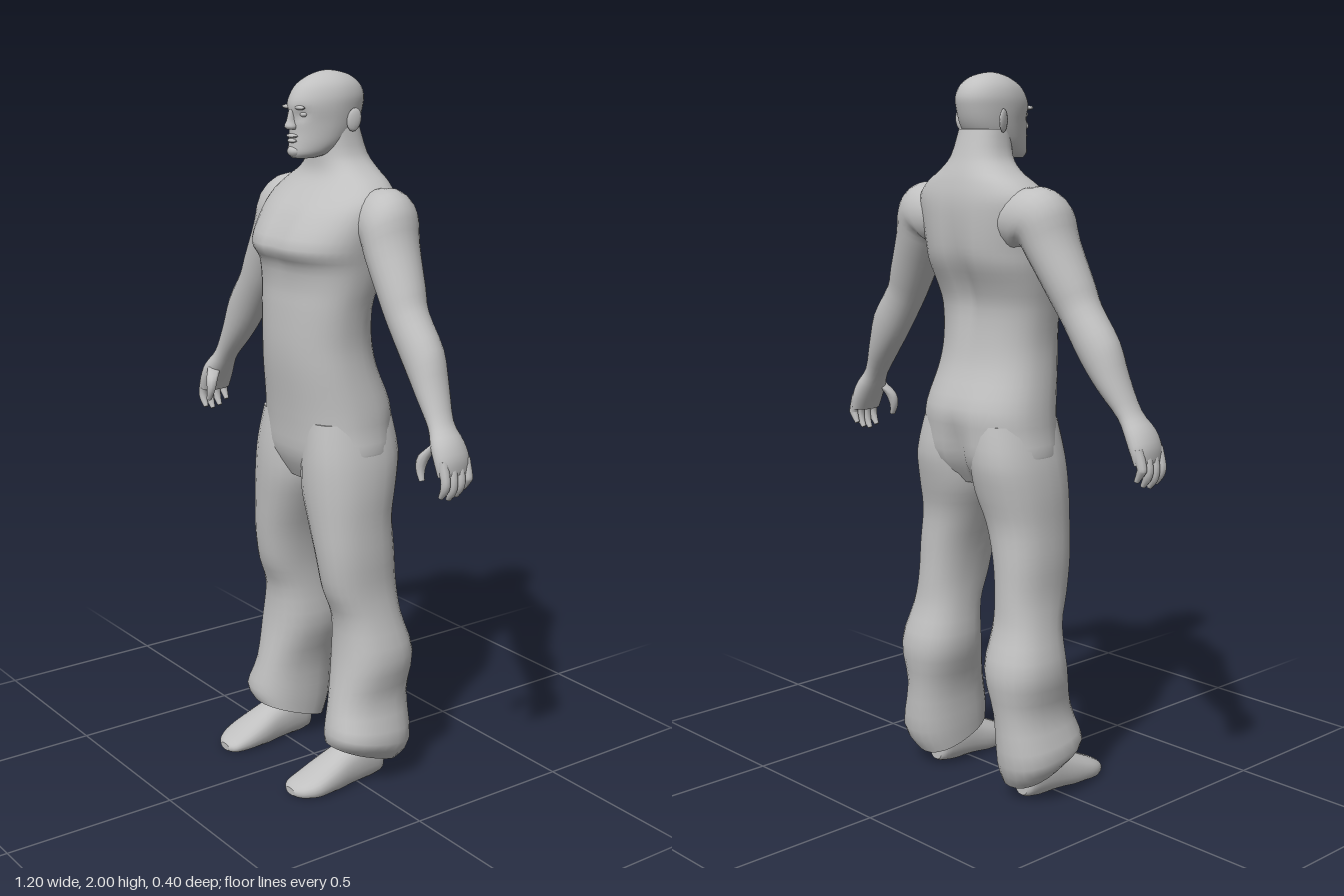
import * as THREE from 'three';

const skin = new THREE.MeshStandardMaterial({ color: 0xc0c0c0 });
skin.name = 'plain grey';

// Smooth interpolation of a table of rings
function refine(rings, n) {
  const out = [];
  const at = (i) => rings[Math.min(Math.max(i, 0), rings.length - 1)];
  for (let i = 0; i < rings.length - 1; i++) {
    for (let k = 0; k < n; k++) {
      const t = k / n;
      out.push(rings[i].map((b, c) => {
        const a = at(i - 1)[c], d = at(i + 1)[c], e = at(i + 2)[c];
        return b + 0.5 * t * (d - a + t * (2 * a - 5 * b + 4 * d - e + t * (3 * (b - d) + e - a)));
      }));
    }
  }
  out.push(rings[rings.length - 1]);
  return out;
}

// Closed skin over rings [x, y, z, radius across, radius in z, tilt, pitch]
function loft(rings, { side = 1, seg = 24, power = 2, sub = 3, rule = null } = {}) {
  const full = refine(rings.map((r) => [...r, 0, 0].slice(0, 7)), sub);
  const pos = [], idx = [];
  const curve = (v) => Math.sign(v) * Math.abs(v) ** (2 / power);
  for (const [x, y, z, rx, rz, tilt, pitch] of full) {
    for (let i = 0; i < seg; i++) {
      const a = (i / seg) * Math.PI * 2;
      const u = rx * curve(Math.cos(a)), w = rz * curve(Math.sin(a));
      const p = new THREE.Vector3(x + u * Math.cos(tilt), y + u * Math.sin(tilt) + w * pitch, z + w);
      if (rule) rule(p, Math.sin(a));
      pos.push(p.x * side, p.y, p.z);
    }
  }
  const tri = (a, b, c) => (side > 0 ? idx.push(a, b, c) : idx.push(a, c, b));
  for (let j = 0; j < full.length - 1; j++) {
    for (let i = 0; i < seg; i++) {
      const a = j * seg + i, b = j * seg + ((i + 1) % seg);
      tri(a, a + seg, b);
      tri(b, a + seg, b + seg);
    }
  }
  // End caps with their own corners
  for (const [row, up] of [[0, false], [full.length - 1, true]]) {
    const base = pos.length / 3;
    pos.push(...pos.slice(row * seg * 3, (row + 1) * seg * 3));
    for (let i = 1; i < seg - 1; i++) {
      if (up) tri(base, base + i + 1, base + i);
      else tri(base, base + i, base + i + 1);
    }
  }
  const g = new THREE.BufferGeometry();
  g.setAttribute('position', new THREE.Float32BufferAttribute(pos, 3));
  g.setIndex(idx);
  g.computeVertexNormals();
  return g;
}

// Row [y, half width, front z, back z] to a level ring
const level = ([y, w, f, b]) => [0, y, (f + b) / 2, w, (f - b) / 2];
const bump = (v, c, r) => Math.exp(-(((v - c) / r) ** 2));

export function createModel() {
  const model = new THREE.Group();
  const add = (name, geo, parent = model) => {
    const m = new THREE.Mesh(geo, skin);
    m.name = name;
    parent.add(m);
    return m;
  };
  const blob = (name, parent, [x, y, z], [sx, sy, sz]) => {
    const m = add(name, new THREE.SphereGeometry(1, 12, 8), parent);
    m.position.set(x, y, z);
    m.scale.set(sx, sy, sz);
    return m;
  };

  // Torso from pelvis to neck, with chest, spine and seat grooves
  add('torso', loft([
    [0.88, 0.13, 0.06, -0.13], [0.95, 0.212, 0.093, -0.182], [1.03, 0.205, 0.1, -0.193],
    [1.1, 0.197, 0.106, -0.193], [1.2, 0.182, 0.117, -0.152], [1.28, 0.176, 0.12, -0.135],
    [1.37, 0.184, 0.116, -0.13], [1.43, 0.194, 0.112, -0.147], [1.49, 0.203, 0.12, -0.175],
    [1.54, 0.21, 0.146, -0.187], [1.62, 0.22, 0.1, -0.19], [1.67, 0.215, 0.055, -0.187],
    [1.71, 0.175, 0.018, -0.178], [1.74, 0.125, 0.003, -0.168], [1.78, 0.085, 0, -0.152],
    [1.85, 0.07, 0, -0.13],
  ].map(level), {
    seg: 40, power: 2.3, rule: (p, s) => {
      const mid = bump(p.x, 0, 0.03);
      if (s > 0) p.z -= 0.012 * mid * bump(p.y, 1.57, 0.07);
      else p.z += mid * (0.022 * bump(p.y, 1.46, 0.14) + 0.03 * bump(p.y, 0.96, 0.09));
    },
  }));

  // Head, narrower toward the face, with hollow eye sockets
  const head = new THREE.Group();
  head.name = 'head';
  model.add(head);
  add('skull', loft([
    [1.772, 0.03, 0.07, 0], [1.785, 0.05, 0.078, -0.05], [1.81, 0.064, 0.076, -0.095],
    [1.84, 0.071, 0.073, -0.12], [1.87, 0.075, 0.074, -0.136], [1.905, 0.078, 0.08, -0.146],
    [1.935, 0.077, 0.072, -0.149], [1.965, 0.066, 0.05, -0.135], [1.987, 0.044, 0.012, -0.105],
    [1.997, 0.022, -0.02, -0.07], [2, 0.004, -0.04, -0.048],
  ].map(level), {
    seg: 36, power: 2.2, rule: (p, s) => {
      if (s < 0) return;
      p.x *= 1 - 0.2 * s;
      p.z -= 0.011 * bump(Math.abs(p.x), 0.03, 0.016) * bump(p.y, 1.888, 0.014) * s;
    },
  }), head);
  add('nose', loft([
    [0, 1.848, 0.075, 0.013, 0.012], [0, 1.856, 0.077, 0.017, 0.018],
    [0, 1.872, 0.074, 0.01, 0.016], [0, 1.9, 0.072, 0.008, 0.01],
  ], { seg: 12 }), head);
  blob('upperLip', head, [0, 1.831, 0.072], [0.022, 0.006, 0.013]);
  blob('lowerLip', head, [0, 1.818, 0.071], [0.019, 0.006, 0.013]);
  blob('chin', head, [0, 1.79, 0.066], [0.024, 0.016, 0.018]);

  for (const side of [1, -1]) {
    const label = side > 0 ? 'left' : 'right';
    const ear = blob(label + 'Ear', head, [side * 0.081, 1.872, -0.073], [0.008, 0.032, 0.02]);
    ear.rotation.set(-0.15, side * -0.35, side * -0.12);
    blob(label + 'Brow', head, [side * 0.028, 1.906, 0.068], [0.022, 0.006, 0.009]);
    blob(label + 'Eye', head, [side * 0.029, 1.888, 0.056], [0.012, 0.007, 0.009]);

    // Arm from shoulder to wrist and palm
    const arm = new THREE.Group();
    arm.name = label + 'Arm';
    model.add(arm);
    add('armAndPalm', loft([
      [0.12, 1.615, -0.085, 0.07, 0.07, 1.4], [0.195, 1.615, -0.08, 0.095, 0.085, 1.2],
      [0.24, 1.6, -0.072, 0.083, 0.086, 0.8], [0.265, 1.54, -0.065, 0.068, 0.08, 0.55],
      [0.322, 1.435, -0.055, 0.062, 0.066, 0.55], [0.355, 1.375, -0.05, 0.057, 0.058, 0.6],
      [0.42, 1.285, -0.05, 0.06, 0.055, 0.6], [0.465, 1.205, -0.045, 0.043, 0.048, 0.6],
      [0.512, 1.13, -0.035, 0.029, 0.038, 0.5], [0.545, 1.085, -0.03, 0.033, 0.05, 0.4],
      [0.565, 1.045, -0.03, 0.03, 0.054, 0.3], [0.573, 1.01, -0.03, 0.02, 0.05, 0.2],
    ].reverse(), { side }), arm);
    // Curled fingers and thumb
    for (let f = 0; f < 4; f++) {
      const z = 0.007 - f * 0.025, drop = [0.008, 0, 0.006, 0.022][f];
      add('finger', loft([
        [0.57, 1.05, z, 0.016, 0.014, 0.2], [0.585, 1.005, z, 0.014, 0.013, 0],
        [0.583, 0.97 + drop, z, 0.012, 0.012, -0.3], [0.568, 0.945 + drop, z, 0.007, 0.007, -0.5],
      ].reverse(), { side, seg: 10 }), arm);
    }
    add('thumb', loft([
      [0.535, 1.09, -0.005, 0.02, 0.02, 0.6], [0.513, 1.055, 0.018, 0.018, 0.018, 0.1],
      [0.507, 1.02, 0.026, 0.013, 0.013, 0], [0.517, 0.99, 0.028, 0.007, 0.008, 0.3],
    ].reverse(), { side, seg: 10 }), arm);

    // Loose trouser leg with a hem that dips at the back
    const leg = new THREE.Group();
    leg.name = label + 'Leg';
    model.add(leg);
    add('trouserLeg', loft([
      [0.182, 0.08, -0.035, 0.078, 0.108, 0, 0.36], [0.2, 0.135, -0.045, 0.098, 0.13, 0, 0.2],
      [0.183, 0.25, -0.058, 0.083, 0.122], [0.176, 0.375, -0.078, 0.105, 0.117],
      [0.167, 0.49, -0.063, 0.087, 0.1], [0.16, 0.58, -0.042, 0.079, 0.112],
      [0.152, 0.68, -0.032, 0.086, 0.118], [0.133, 0.78, -0.028, 0.1, 0.122],
      [0.116, 0.87, -0.036, 0.114, 0.135], [0.11, 0.96, -0.045, 0.108, 0.142],
      [0.1, 1.06, -0.045, 0.09, 0.13],
    ], { side, power: 2.3 }), leg);

    // Foot built heel to toe, laid flat; the sole stays on the ground
    const foot = loft([
      [0.182, -0.1, -0.035, 0.025, 0.03], [0.182, -0.085, -0.05, 0.042, 0.052],
      [0.182, -0.03, -0.06, 0.05, 0.07], [0.182, 0.03, -0.05, 0.054, 0.062],
      [0.182, 0.09, -0.035, 0.06, 0.05], [0.182, 0.15, -0.022, 0.06, 0.034],
      [0.175, 0.19, -0.016, 0.046, 0.02], [0.172, 0.206, -0.013, 0.022, 0.01],
    ], { side, power: 2.3, rule: (p) => { p.z = Math.min(p.z, 0); } });
    foot.rotateX(Math.PI / 2);
    add('foot', foot, leg);
  }
  return model;
}
